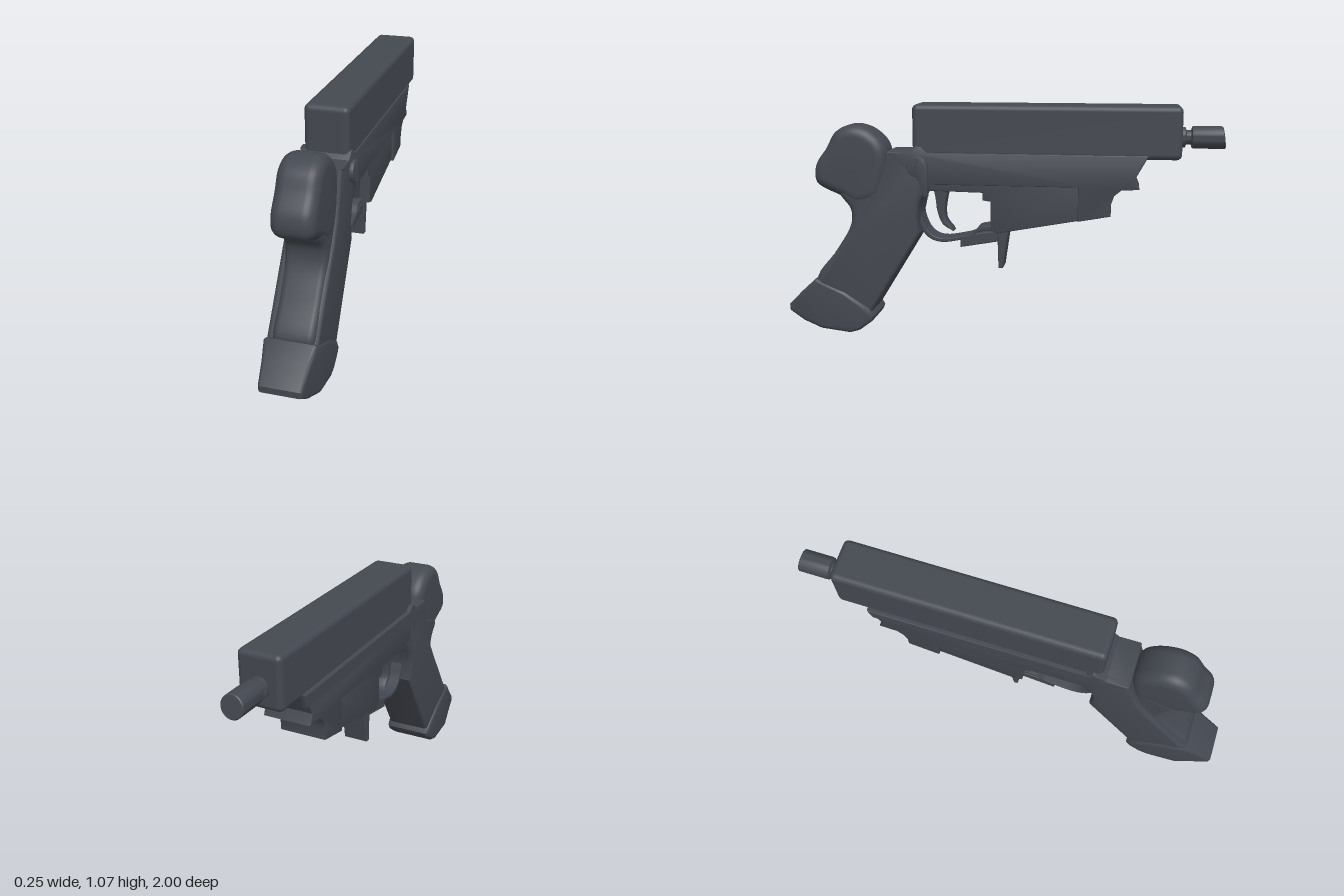
import * as THREE from 'three';
import { toCreasedNormals } from 'three/addons/utils/BufferGeometryUtils.js';
import { RoundedBoxGeometry } from 'three/addons/geometries/RoundedBoxGeometry.js';

const material = new THREE.MeshStandardMaterial({ color: 0x444850 });
const V = (p) => p.map(([z, y]) => new THREE.Vector2(z, y));
const smooth = (p, n = 48, closed = true) => {
  const c = new THREE.CatmullRomCurve3(p.map(([z, y]) => new THREE.Vector3(z, y, 0)), closed);
  const pts = c.getPoints(n).map((q) => [q.x, q.y]);
  return closed ? pts.slice(0, -1) : pts;
};

// Side profile in (z, y), extruded across x from x0 to x1 with rounded edges
function slab(profile, x0, x1, bevel = 0.01, segments = 3) {
  const g = new THREE.ExtrudeGeometry(new THREE.Shape(V(profile)), {
    depth: x1 - x0 - 2 * bevel, bevelEnabled: bevel > 0, bevelSize: bevel,
    bevelThickness: bevel, bevelOffset: -bevel, bevelSegments: segments,
  });
  g.translate(0, 0, -x1 + bevel);
  g.rotateY(-Math.PI / 2);
  return g;
}

export function createModel() {
  const model = new THREE.Group();
  const add = (name, g, crease = 0.6) => {
    const m = new THREE.Mesh(crease ? toCreasedNormals(g, crease) : g, material);
    m.name = name;
    model.add(m);
    return m;
  };

  // Slide
  add('slide', new RoundedBoxGeometry(0.195, 0.235, 1.2, 4, 0.025), 0)
    .position.set(-0.002, 0.958, -0.21);

  // Barrel with neck rings and slightly slanted muzzle
  const barrel = new THREE.LatheGeometry(V([
    [0, 0], [0.035, 0], [0.035, 0.05], [0.045, 0.055], [0.045, 0.07], [0.032, 0.075],
    [0.032, 0.095], [0.048, 0.1], [0.05, 0.11], [0.05, 0.236], [0.046, 0.24], [0, 0.24],
  ]), 32);
  barrel.rotateX(-Math.PI / 2);
  const bp = barrel.attributes.position;
  for (let i = 0; i < bp.count; i++) {
    if (bp.getZ(i) < -0.2) bp.setZ(i, bp.getZ(i) + bp.getY(i) * 0.14);
  }
  add('barrel', barrel).position.set(-0.003, 0.935, -0.755);

  // Upper frame with stepped nose
  add('frame', slab([
    [0.51, 0.86], [0.42, 0.86], [0.33, 0.7], [0.33, 0.715], [-0.36, 0.715], [-0.36, 0.56],
    [-0.506, 0.587], [-0.506, 0.64], [-0.52, 0.68], [-0.55, 0.705], [-0.63, 0.71],
    [-0.61, 0.757], [-0.667, 0.86], [0.32, 0.86], [0.35, 0.888], [0.375, 0.888], [0.41, 0.86],
  ].filter((_, i) => i !== 1 && i !== 2), -0.115, 0.103, 0.006, 2));
  add('frameRail', slab([[0.4, 0.8], [-0.65, 0.8], [-0.667, 0.86], [0.32, 0.865],
    [0.35, 0.888], [0.38, 0.888]], -0.117, -0.09, 0.004, 1));

  // Recessed lower frame ahead of the trigger
  add('lowerFrame', slab([
    [0.34, 0.74], [0.34, 0.685], [0.07, 0.68], [0.07, 0.645], [0.035, 0.64], [0.035, 0.505],
    [0, 0.495], [-0.4, 0.568], [-0.4, 0.74],
  ], -0.1, 0.09, 0.008, 2));

  // Grip side body
  add('grip', slab([
    [0.51, 0.86], [0.32, 0.86], [0.32, 0.7], [0.355, 0.645], [0.372, 0.57], [0.36, 0.49],
    [0.6, 0.1], [0.85, 0.24], [0.66, 0.52], [0.62, 0.58], [0.575, 0.66], [0.545, 0.74], [0.52, 0.82],
  ], -0.115, 0.103, 0.018, 4));

  // Rounded back strap
  add('backStrap', slab(smooth([
    [0.58, 0.74], [0.74, 0.67], [0.69, 0.59], [0.69, 0.52], [0.765, 0.39], [0.86, 0.25],
    [0.76, 0.18], [0.66, 0.3], [0.55, 0.52],
  ]), -0.09, 0.09, 0.03, 5), 0.9);

  // Bulbous rear tang
  add('rearTang', slab(smooth([
    [0.52, 0.88], [0.59, 0.955], [0.68, 0.978], [0.755, 0.945], [0.8, 0.87], [0.852, 0.79],
    [0.85, 0.71], [0.74, 0.65], [0.66, 0.61], [0.56, 0.64], [0.52, 0.75],
  ], 66), -0.088, 0.095, 0.05, 7), 1);

  // Flared grip base, narrowing towards the heel
  const base = slab([
    [0.862, 0.257], [0.93, 0.195], [1, 0.125], [0.998, 0.095], [0.93, 0.05], [0.84, 0.018],
    [0.7, 0.001], [0.655, 0.015], [0.595, 0.06], [0.583, 0.085], [0.605, 0.125], [0.72, 0.2],
  ], -0.125, 0.11, 0.018, 4);
  const p = base.attributes.position;
  for (let i = 0; i < p.count; i++) {
    const t = THREE.MathUtils.clamp((p.getZ(i) - 0.84) / 0.12, 0, 1);
    p.setX(i, p.getX(i) * (1 - 0.2 * t));
  }
  add('gripBase', base, 0.8);

  // Trigger guard, a thin bent strap
  const outer = smooth([[0.37, 0.53], [0.355, 0.49], [0.32, 0.455], [0.265, 0.44], [0.18, 0.452],
    [0.125, 0.465], [0.1, 0.49], [0.02, 0.5]], 28, false);
  const inner = smooth([[0.02, 0.525], [0.095, 0.512], [0.12, 0.485], [0.18, 0.468], [0.265, 0.457],
    [0.31, 0.472], [0.34, 0.505], [0.365, 0.57]], 28, false);
  add('triggerGuard', slab([...outer, ...inner], -0.06, 0.05, 0.003, 1));

  // Curved trigger
  add('trigger', slab([
    ...smooth([[0.31, 0.7], [0.298, 0.64], [0.29, 0.58], [0.265, 0.52], [0.215, 0.487]], 16, false),
    ...smooth([[0.22, 0.5], [0.25, 0.54], [0.256, 0.58], [0.25, 0.63], [0.235, 0.7]], 16, false),
  ], -0.04, 0.03, 0.005, 2));

  // Guard shelf and hanging blade
  add('guardShelf', slab([[0.18, 0.465], [0.18, 0.418], [0, 0.45], [0, 0.5], [0.1, 0.485]],
    -0.06, 0.05, 0.004, 1));
  add('hangingBlade', slab([[0.008, 0.52], [0.002, 0.325], [-0.018, 0.325], [-0.046, 0.52]],
    -0.065, 0.055, 0.004, 1));

  // Side lever: round pivot with a tail
  const pivot = [];
  for (let i = 0; i < 32; i++) {
    const a = (i / 32) * Math.PI * 2;
    pivot.push([0.365 + 0.048 * Math.cos(a), 0.798 + 0.048 * Math.sin(a)]);
  }
  add('leverPivot', slab(pivot, 0.09, 0.119, 0.004, 2));
  add('leverTail', slab([[0.37, 0.845], [0.33, 0.835], [0.315, 0.79], [0.318, 0.66],
    [0.335, 0.66], [0.35, 0.72], [0.375, 0.76]], 0.085, 0.122, 0.004, 2));

  return model;
}
